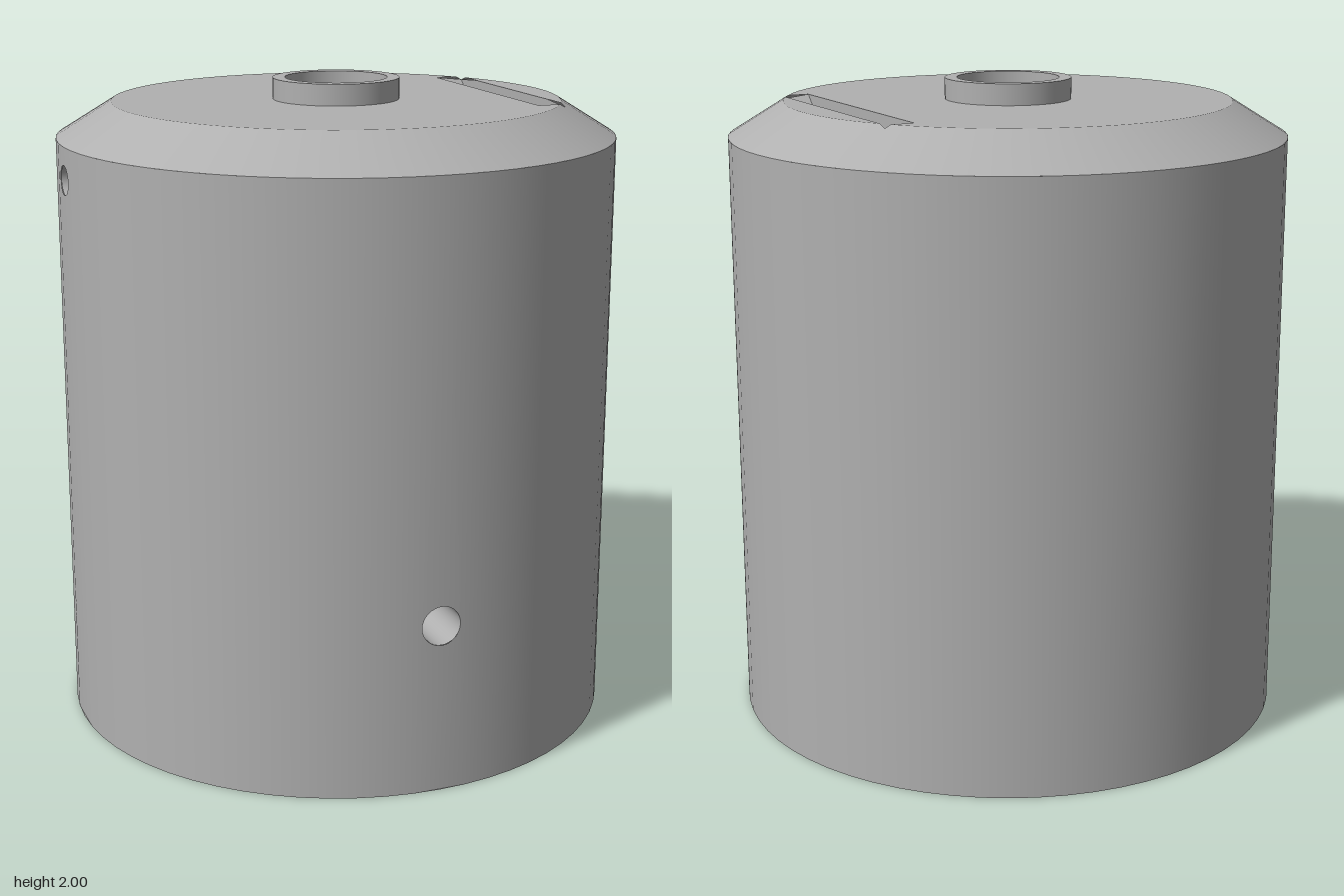
import * as THREE from 'three';
import { mergeGeometries } from 'three/addons/utils/BufferGeometryUtils.js';

const SEG = 64, R = 0.86, RIM = 0.69, SHOULDER = 1.83, TOP = 1.935;
const SLOT = { x0: 0.505, x1: 0.595, z: 0.38, floorZ: 0.26, floorY: 1.815 };

// Height of the bevelled top at a given radius
const topHeight = r => r <= RIM ? TOP : TOP - (TOP - SHOULDER) * (r - RIM) / (R - RIM);

// Points along a circular arc
function arc(r, from, to, n) {
  return Array.from({ length: n + 1 }, (_, i) => {
    const a = from + (to - from) * i / n;
    return new THREE.Vector2(r * Math.cos(a), r * Math.sin(a));
  });
}

// Turned surface with a sharp edge at every profile point
function turned(profile) {
  const bands = [];
  for (let i = 0; i + 1 < profile.length; i++) {
    const pair = [profile[i], profile[i + 1]].map(p => new THREE.Vector2(...p));
    bands.push(new THREE.LatheGeometry(pair, SEG));
  }
  return mergeGeometries(bands);
}

// Strip of the curved wall, facing +z, pierced by a round hole
function piercedStrip(half, y, radius) {
  const s = new THREE.Shape([[-half, 0], [half, 0], [half, SHOULDER], [0, SHOULDER], [-half, SHOULDER]]
    .map(p => new THREE.Vector2(...p)));
  s.holes.push(new THREE.Path().absarc(0, y, radius, 0, Math.PI * 2, true));
  const g = new THREE.ShapeGeometry(s, 16);
  const p = g.attributes.position, n = g.attributes.normal;
  for (let i = 0; i < p.count; i++) {
    const a = p.getX(i);
    // hole points are given in wall units, strip edges in radians
    const sin = Math.sin(a), cos = Math.cos(a);
    p.setXYZ(i, R * sin, p.getY(i), R * cos);
    n.setXYZ(i, sin, 0, cos);
  }
  return g;
}

// Round drilling running inward along z
function drilling(y, radius, inner) {
  const len = R - 0.002 - inner;
  return new THREE.CylinderGeometry(radius, radius, len, 32, 1, true)
    .rotateX(Math.PI / 2).translate(0, y, inner + len / 2);
}

// Bevel between the shoulder and the outline of the top face
function bevelGeometry(outline) {
  const pos = [], nor = [], idx = [], n = outline.length;
  const slope = new THREE.Vector2(TOP - SHOULDER, R - RIM).normalize();
  outline.forEach((p, i) => {
    const r = p.length(), c = p.x / r, s = p.y / r;
    pos.push(R * c, SHOULDER, -R * s, p.x, topHeight(r), -p.y);
    for (let k = 0; k < 2; k++) nor.push(slope.x * c, slope.y, -slope.x * s);
    const a = 2 * i, b = 2 * ((i + 1) % n);
    idx.push(a, b, b + 1, a, b + 1, a + 1);
  });
  const g = new THREE.BufferGeometry();
  g.setAttribute('position', new THREE.Float32BufferAttribute(pos, 3));
  g.setAttribute('normal', new THREE.Float32BufferAttribute(nor, 3));
  g.setIndex(idx);
  return g;
}

// Keyway trough: two walls, flat floor and ramped ends
function slotGeometry() {
  const { x0, x1, z, floorZ, floorY } = SLOT, pos = [];
  const quad = (a, b, c, d) => pos.push(...a, ...b, ...c, ...a, ...c, ...d);
  const section = x => [-z, -floorZ, floorZ, z].map((zz, i) =>
    [x, i === 1 || i === 2 ? floorY : topHeight(Math.hypot(x, zz)), zz]);
  const a = section(x0), b = section(x1);
  for (let i = 0; i < 3; i++) quad(a[i], a[i + 1], b[i + 1], b[i]);
  const rim = (x, zz) => [x, TOP, zz];
  for (const [x, s, dir] of [[x0, a, 1], [x1, b, -1]]) {
    const zr = Math.min(floorZ, z);
    const parts = [
      [s[1], s[2], rim(x, zr), rim(x, -zr)],
      [s[0], s[1], rim(x, -zr), s[0]],
      [s[3], rim(x, zr), s[2], s[3]],
    ];
    for (const q of parts) quad(...(dir > 0 ? q.slice().reverse() : q));
  }
  const g = new THREE.BufferGeometry();
  g.setAttribute('position', new THREE.Float32BufferAttribute(pos, 3));
  g.computeVertexNormals();
  return g;
}

export function createModel() {
  const model = new THREE.Group();
  model.name = 'cylinderHousing';
  const grey = new THREE.MeshStandardMaterial({ color: 0xb0b0b0, side: THREE.DoubleSide });
  grey.name = 'plain grey';
  const add = (name, geometry) => {
    const mesh = new THREE.Mesh(geometry, grey);
    mesh.name = name;
    model.add(mesh);
    return mesh;
  };

  // Outer wall: two plain arcs and two drilled strips
  const half = 2 * Math.PI / SEG, side = 1.5 * Math.PI;
  const wall = (from, to) => new THREE.CylinderGeometry(R, R, SHOULDER, Math.round((to - from) / half), 1,
    true, from, to - from).translate(0, SHOULDER / 2, 0);
  add('outerWallLarge', wall(half, side - half));
  add('outerWallSmall', wall(side + half, 2 * Math.PI - half));
  const holes = [
    { name: 'front', y: 0.52, r: 0.06, inner: 0.45, turn: 0 },
    { name: 'side', y: 1.73, r: 0.045, inner: 0.142, turn: -Math.PI / 2 },
  ];
  for (const h of holes) {
    const strip = piercedStrip(half, h.y, h.r);
    // bring the hole outline back to a true circle on the wall
    const p = strip.attributes.position;
    for (let i = 0; i < p.count; i++) {
      const a = Math.atan2(p.getX(i), p.getZ(i));
      if (Math.abs(a) < half - 1e-4 && Math.abs(p.getY(i) - h.y) <= h.r + 1e-4) {
        const x = a;
        p.setX(i, x);
        p.setZ(i, Math.sqrt(R * R - x * x));
      }
    }
    add(h.name + 'WallStrip', strip).rotation.y = h.turn;
    add(h.name + 'Hole', drilling(h.y, h.r, h.inner)).rotation.y = h.turn;
  }

  // Bevelled top, notched where the slot corners break the rim
  const { x0, x1, z } = SLOT;
  const aEnd = Math.asin(z / RIM), aSide = Math.acos(x1 / RIM);
  const mainArc = arc(RIM, aEnd, 2 * Math.PI - aEnd, 56);
  const smallArc = arc(RIM, -aSide, aSide, 12);
  add('topBevel', bevelGeometry([...mainArc, new THREE.Vector2(x1, -z), ...smallArc, new THREE.Vector2(x1, z)]));

  // Flat top face on both sides of the slot
  const plateau = new THREE.Shape([...mainArc, new THREE.Vector2(x0, -z), new THREE.Vector2(x0, z)]);
  plateau.holes.push(new THREE.Path(arc(0.195, 0, 2 * Math.PI, SEG).slice(0, -1).reverse()));
  for (const [name, shape] of [['topFace', plateau], ['topFaceSliver', new THREE.Shape(smallArc)]]) {
    add(name, new THREE.ShapeGeometry(shape).rotateX(-Math.PI / 2).translate(0, TOP, 0));
  }
  add('topSlot', slotGeometry());

  // Neck, counterbore, through bore, wide lower cavity and base ring
  add('neck', turned([[0.195, TOP], [0.195, 2], [0.157, 2]]));
  add('neckBore', turned([[0.157, 2], [0.157, 1.93], [0.142, 1.93], [0.142, 1.5]]));
  add('lowerCavity', turned([[0.142, 1.5], [0.45, 1.5], [0.45, 0.035], [0.485, 0]]));
  add('baseRing', turned([[0.485, 0], [R, 0]]));
  return model;
}
